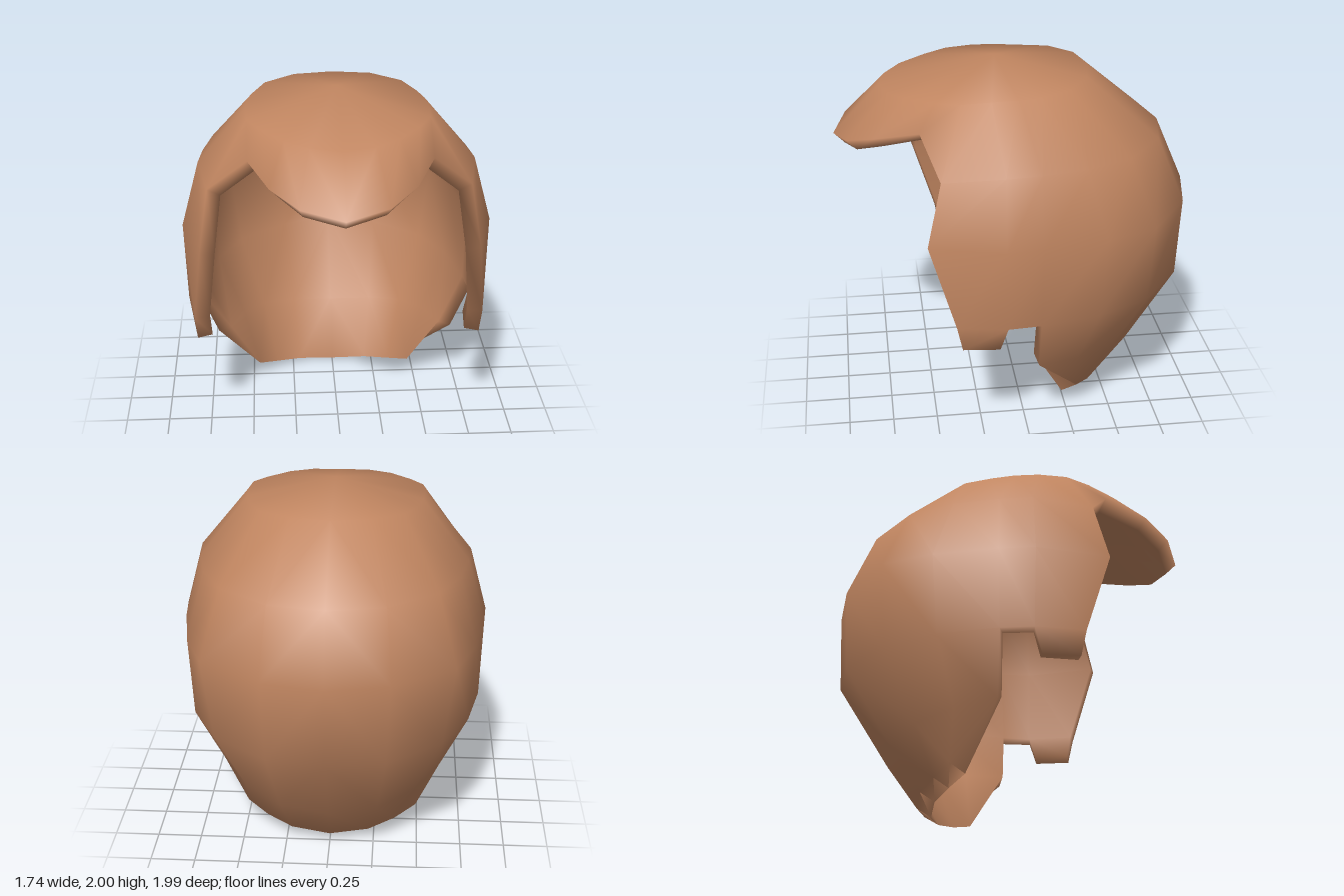
import * as THREE from 'three';
import { mergeVertices } from 'three/addons/utils/BufferGeometryUtils.js';

const THICKNESS = 0.085;
const crown = [0, 2, 0.1];

// Left half of the hair, top to bottom; each row runs from the back centre round to the front.
const rows = [
  [[0, 1.92, -0.42], [0.22, 1.92, -0.38], [0.39, 1.91, -0.26], [0.46, 1.9, -0.1], [0.49, 1.9, 0.03], [0.5, 1.9, 0.17],
    [0.49, 1.89, 0.33], [0.42, 1.88, 0.46], [0.3, 1.87, 0.61], [0.17, 1.86, 0.7], [0, 1.85, 0.74]],
  [[0, 1.58, -0.83], [0.31, 1.58, -0.77], [0.58, 1.58, -0.56], [0.7, 1.58, -0.31], [0.75, 1.58, -0.06], [0.77, 1.58, 0.13],
    [0.71, 1.55, 0.46], [0.49, 1.74, 0.55], [0.38, 1.68, 0.79], [0.23, 1.62, 0.93], [0, 1.58, 1]],
  [[0, 1.21, -0.99], [0.34, 1.21, -0.92], [0.68, 1.21, -0.69], [0.79, 1.21, -0.41], [0.85, 1.21, -0.06], [0.87, 1.21, 0.14],
    [0.76, 1.21, 0.54]],
  [[0, 0.76, -0.97], [0.32, 0.75, -0.9], [0.62, 0.75, -0.67], [0.77, 0.75, -0.38], [0.84, 0.75, -0.05], [0.855, 0.75, 0.13],
    [0.81, 0.75, 0.4]],
  [[0, 0.29, -0.68], [0.27, 0.31, -0.64], [0.48, 0.36, -0.5], [0.62, 0.4, -0.29], [0.7, 0.42, -0.06], [0.82, 0.61, 0.17],
    [0.8, 0.61, 0.37]],
  [[0, 0.05, -0.51], [0.22, 0.07, -0.48], [0.37, 0.1, -0.4], [0.49, 0.14, -0.31], [0.7, 0.42, -0.06]],
];

// Outer surface, mirrored across x = 0 and welded
function outerSurface() {
  const positions = [];
  const tri = (a, b, c) => {
    if (b === c || String(b) === String(c)) return;
    positions.push(...a, ...b, ...c);
    for (const p of [a, c, b]) positions.push(-p[0], p[1], p[2]);
  };
  for (let j = 0; j < rows[0].length - 1; j++) tri(crown, rows[0][j + 1], rows[0][j]);
  for (let i = 0; i < rows.length - 1; i++) {
    const top = rows[i], low = rows[i + 1];
    for (let j = 0; j < Math.min(top.length, low.length) - 1; j++) {
      if (i === 3 && j === 4) continue; // ear notch behind the sideburn
      tri(top[j], top[j + 1], low[j + 1]);
      tri(top[j], low[j + 1], low[j]);
    }
  }
  const geometry = new THREE.BufferGeometry();
  // adding 0 turns any mirrored -0 into 0
  geometry.setAttribute('position', new THREE.Float32BufferAttribute(positions.map((v) => v + 0), 3));
  const welded = mergeVertices(geometry, 1e-4);
  welded.computeVertexNormals();
  return welded;
}

// Thicken the surface: offset inner layer plus a rim along the open edges
function thicken(outer) {
  const pos = outer.attributes.position, nor = outer.attributes.normal;
  const n = pos.count, index = Array.from(outer.index.array);
  const points = Array.from(pos.array);
  for (let i = 0; i < n; i++) {
    const p = new THREE.Vector3().fromBufferAttribute(pos, i);
    if (p.y < 0.2) p.add(new THREE.Vector3(-p.x * 0.06, -0.05, 0.08)); // nape curls under
    else p.addScaledVector(new THREE.Vector3().fromBufferAttribute(nor, i), -THICKNESS);
    points.push(p.x, p.y, p.z);
  }
  const edges = new Set(), faces = [...index];
  for (let t = 0; t < index.length; t += 3) {
    const f = index.slice(t, t + 3);
    faces.push(f[0] + n, f[2] + n, f[1] + n);
    for (let k = 0; k < 3; k++) edges.add(f[k] + '_' + f[(k + 1) % 3]);
  }
  for (const edge of edges) {
    const [a, b] = edge.split('_').map(Number);
    if (!edges.has(b + '_' + a)) faces.push(b, a, a + n, b, a + n, b + n);
  }
  const shell = new THREE.BufferGeometry();
  shell.setAttribute('position', new THREE.Float32BufferAttribute(points, 3));
  shell.setIndex(faces);
  shell.computeVertexNormals();
  return shell;
}

export function createModel() {
  const group = new THREE.Group();
  group.name = 'hairpiece';
  const hairBrown = new THREE.MeshStandardMaterial({ color: 0xc08560 });
  hairBrown.name = 'hairBrown';
  const hair = new THREE.Mesh(thicken(outerSurface()), hairBrown);
  hair.name = 'hairShell';
  group.add(hair);
  return group;
}
